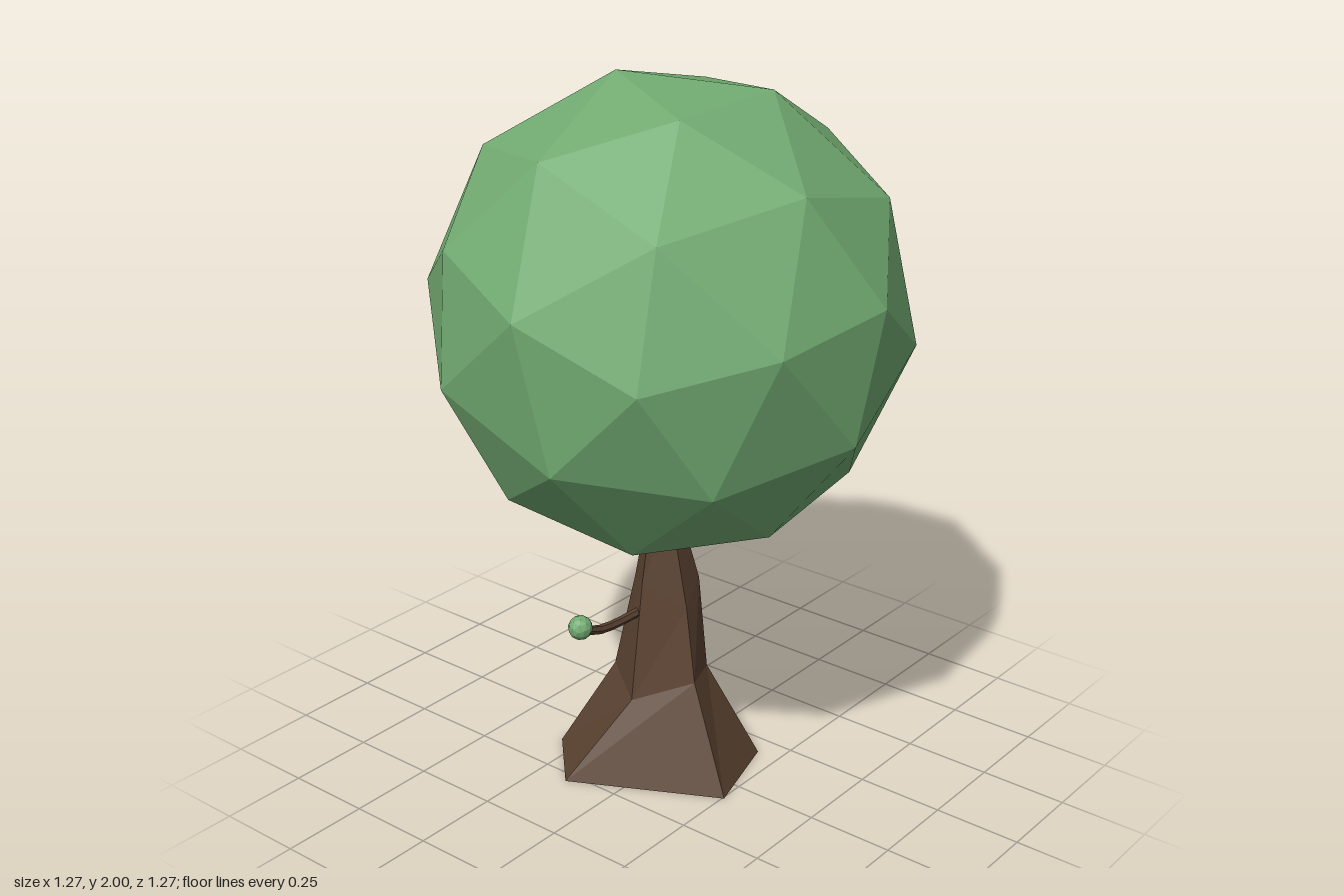
import * as THREE from 'three';

export function createModel() {
  const leafGreen = new THREE.MeshStandardMaterial({ color: 0x72ab72 });
  const barkBrown = new THREE.MeshStandardMaterial({ color: 0x5a4231 });
  const tree = new THREE.Group();
  tree.name = 'tree';

  // Faceted mesh: unshared vertices give each face its own normal
  function addFaceted(name, geometry, material) {
    const flat = geometry.index ? geometry.toNonIndexed() : geometry;
    flat.computeVertexNormals();
    const mesh = new THREE.Mesh(flat, material);
    mesh.name = name;
    tree.add(mesh);
    return mesh;
  }

  // Crown: a turned 80-sided ball
  const up = new THREE.Vector3(-0.183, 0.977, 0.107).normalize();
  const side = new THREE.Vector3(0.884, 0.128, 0.449);
  side.addScaledVector(up, -side.dot(up)).normalize();
  const turn = new THREE.Matrix4().makeBasis(side, up, side.clone().cross(up));
  const leafBall = (name, radius, x, y, z) =>
    addFaceted(name, new THREE.IcosahedronGeometry(radius, 1).applyMatrix4(turn), leafGreen)
      .position.set(x, y, z);
  leafBall('crown', 0.652, 0, 1.36, 0);

  // Trunk: irregular six-sided rings, flared at the foot and leaning slightly
  const rings = [
    [[-0.15, 0, 0.285], [0.255, 0, 0.075], [0.18, 0, -0.185],
      [-0.03, 0, -0.335], [-0.23, 0, -0.21], [-0.31, 0, 0.12]],
    [[-0.05, 0.22, 0.11], [0.105, 0.29, 0.02], [0.055, 0.28, -0.1],
      [-0.02, 0.28, -0.13], [-0.135, 0.28, -0.09], [-0.165, 0.275, 0.045]],
    [[-0.05, 0.57, 0.06], [0.06, 0.5, 0], [0.025, 0.55, -0.1],
      [-0.035, 0.55, -0.13], [-0.11, 0.55, -0.1], [-0.125, 0.55, 0.0]],
    [[-0.045, 0.78, 0.025], [-0.005, 0.78, -0.01], [-0.015, 0.78, -0.055],
      [-0.04, 0.78, -0.065], [-0.075, 0.78, -0.055], [-0.08, 0.78, -0.005]],
  ];
  const sides = 6;
  const index = [];
  for (let r = 0; r < rings.length - 1; r++) {
    for (let j = 0; j < sides; j++) {
      const a = r * sides + j;
      const b = r * sides + (j + 1) % sides;
      index.push(a, b, b + sides, a, b + sides, a + sides);
    }
  }
  const top = (rings.length - 1) * sides;
  for (let j = 1; j < sides - 1; j++) {
    index.push(0, j + 1, j, top, top + j, top + j + 1);
  }
  const trunk = new THREE.BufferGeometry();
  trunk.setAttribute('position', new THREE.Float32BufferAttribute(rings.flat(2), 3));
  trunk.setIndex(index);
  addFaceted('trunk', trunk, barkBrown);

  // Twigs, each carrying a small leaf ball
  function addTwig(name, points, thickness, ballRadius) {
    const curve = new THREE.CatmullRomCurve3(points.map((p) => new THREE.Vector3(...p)));
    addFaceted(name + 'Twig', new THREE.TubeGeometry(curve, 6, thickness, 6), barkBrown);
    leafBall(name + 'LeafBall', ballRadius, ...points[points.length - 1]);
  }
  addTwig('front', [[-0.065, 0.475, 0.04], [-0.065, 0.48, 0.18],
    [-0.06, 0.5, 0.26], [-0.06, 0.53, 0.31]], 0.013, 0.034);
  addTwig('back', [[-0.055, 0.6, -0.08], [-0.065, 0.62, -0.18],
    [-0.085, 0.635, -0.28], [-0.095, 0.67, -0.332]], 0.016, 0.068);

  return tree;
}
